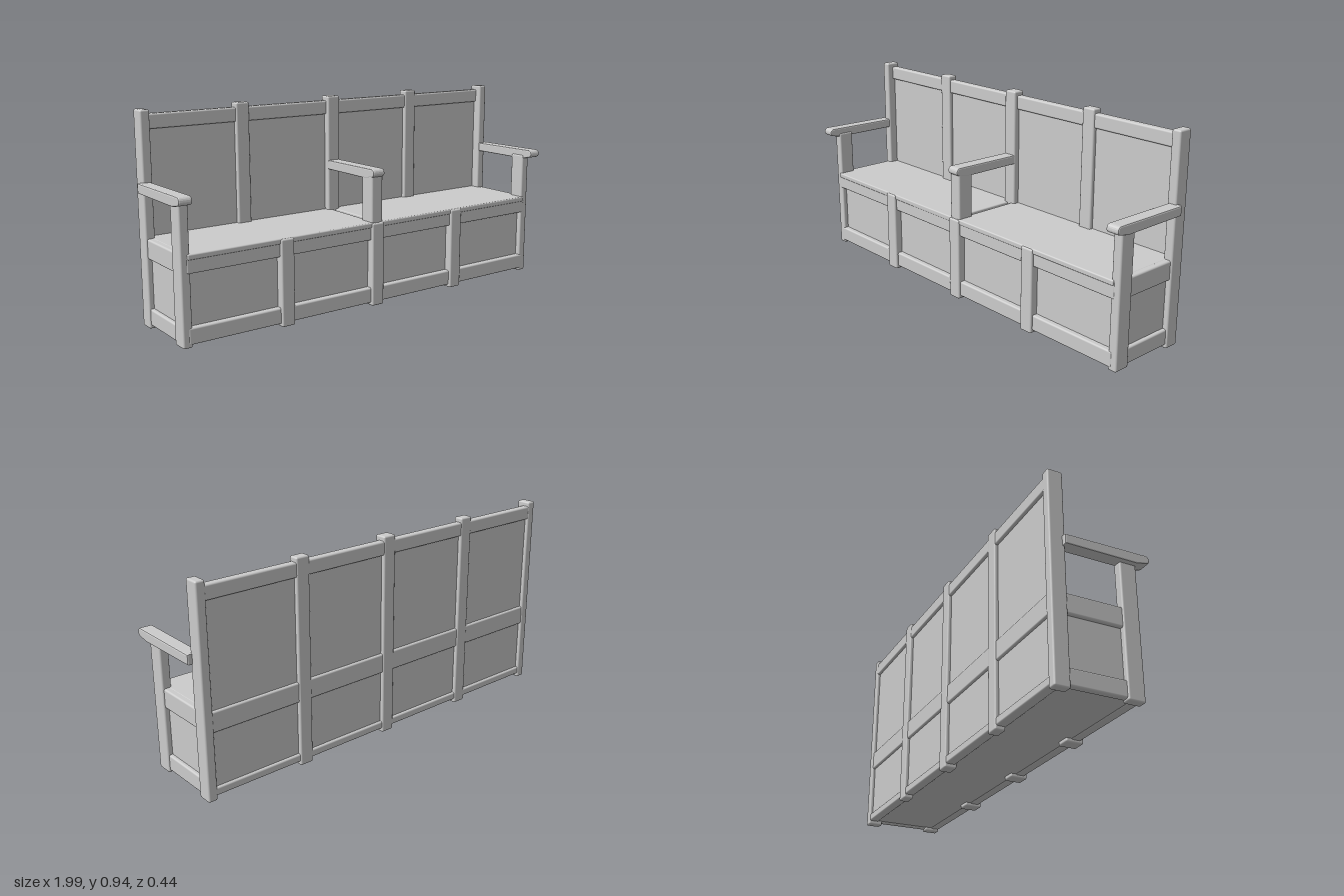
import * as THREE from 'three';
import { RoundedBoxGeometry } from 'three/addons/geometries/RoundedBoxGeometry.js';

const material = new THREE.MeshStandardMaterial({ color: 0xcccccc });

// Softly rounded beam given by its min/max along each axis
function beam(group, name, [x0, x1], [y0, y1], [z0, z1], radius = 0.008) {
  const w = x1 - x0, h = y1 - y0, d = z1 - z0;
  const r = Math.min(radius, w * 0.45, h * 0.45, d * 0.45);
  const mesh = new THREE.Mesh(new RoundedBoxGeometry(w, h, d, 2, r), material);
  mesh.position.set((x0 + x1) / 2, (y0 + y1) / 2, (z0 + z1) / 2);
  mesh.name = name;
  group.add(mesh);
}

// Armrest: side profile with a rounded nose, extruded across its width
function armrest(group, name, x0, x1, back, front) {
  const s = new THREE.Shape();
  s.moveTo(-back, 0.592);
  s.lineTo(-(front - 0.06), 0.592);
  s.lineTo(-(front - 0.015), 0.602);
  s.quadraticCurveTo(-front, 0.606, -front, 0.618);
  s.quadraticCurveTo(-front, 0.639, -(front - 0.02), 0.639);
  s.lineTo(-back, 0.635);
  s.closePath();
  const b = 0.006;
  const geo = new THREE.ExtrudeGeometry(s, {
    depth: x1 - x0 - 2 * b, bevelThickness: b, bevelSize: b, bevelOffset: -b, bevelSegments: 2, curveSegments: 5,
  });
  geo.rotateY(Math.PI / 2); // shape x becomes -z, depth becomes x
  const mesh = new THREE.Mesh(geo, material);
  mesh.position.x = x0 + b;
  mesh.name = name;
  group.add(mesh);
}

export function createModel() {
  const bench = new THREE.Group();
  bench.name = 'bench';

  // Intermediate posts, back and front
  for (const x of [-0.483, 0, 0.475]) {
    const w = [x - 0.033, x + 0.033];
    beam(bench, 'backPost', w, [0, 0.938], [-0.222, x === 0 ? -0.165 : -0.175]);
    beam(bench, 'frontPost', w, [0.005, 0.393], [0.1, 0.182]);
  }
  // Central divider with its own armrest
  beam(bench, 'centreArmPost', [-0.031, 0.031], [0.3, 0.61], [0.095, 0.172]);
  armrest(bench, 'centreArmrest', -0.032, 0.032, -0.19, 0.184);

  // End frames
  for (const side of [-1, 1]) {
    const span = (a, b) => (side > 0 ? [a, b] : [-b, -a]);
    const end = new THREE.Group();
    end.name = side > 0 ? 'leftEnd' : 'rightEnd';
    beam(end, 'backPost', span(0.932, 0.975), [0, 0.938], [-0.221, -0.152]);
    beam(end, 'frontPost', span(0.932, 0.975), [0.005, 0.61], [0.092, 0.168]);
    beam(end, 'sideTopRail', span(0.935, 0.968), [0.308, 0.395], [-0.17, 0.12]);
    beam(end, 'sideBottomRail', span(0.935, 0.968), [0.015, 0.088], [-0.17, 0.12]);
    beam(end, 'sidePanel', span(0.935, 0.951), [0.05, 0.35], [-0.17, 0.12], 0.002);
    const [a, b] = span(0.937, 0.997);
    armrest(end, 'armrest', a, b, -0.165, 0.22);
    bench.add(end);
  }

  // Back rest rails and recessed panels
  const full = [-0.95, 0.95];
  beam(bench, 'backTopRail', full, [0.853, 0.917], [-0.219, -0.182]);
  beam(bench, 'backMiddleRail', full, [0.3, 0.392], [-0.217, -0.17]);
  beam(bench, 'backBottomRail', full, [0.018, 0.055], [-0.217, -0.17]);
  beam(bench, 'backPanel', full, [0.03, 0.89], [-0.205, -0.194], 0.002);

  // Box base: front rails, recessed front panel, floor
  beam(bench, 'frontTopRail', full, [0.314, 0.392], [0.125, 0.17]);
  beam(bench, 'frontBottomRail', full, [0.018, 0.09], [0.125, 0.17]);
  beam(bench, 'frontPanel', full, [0.04, 0.36], [0.13, 0.145], 0.002);
  beam(bench, 'floorPanel', full, [0.022, 0.036], [-0.2, 0.15], 0.002);

  // Seat boards on both sides of the divider, with a slight front lip
  for (const [x0, x1] of [[-0.945, -0.01], [0.01, 0.945]]) {
    beam(bench, 'seat', [x0, x1], [0.372, 0.396], [-0.2, 0.175], 0.006);
  }
  return bench;
}
